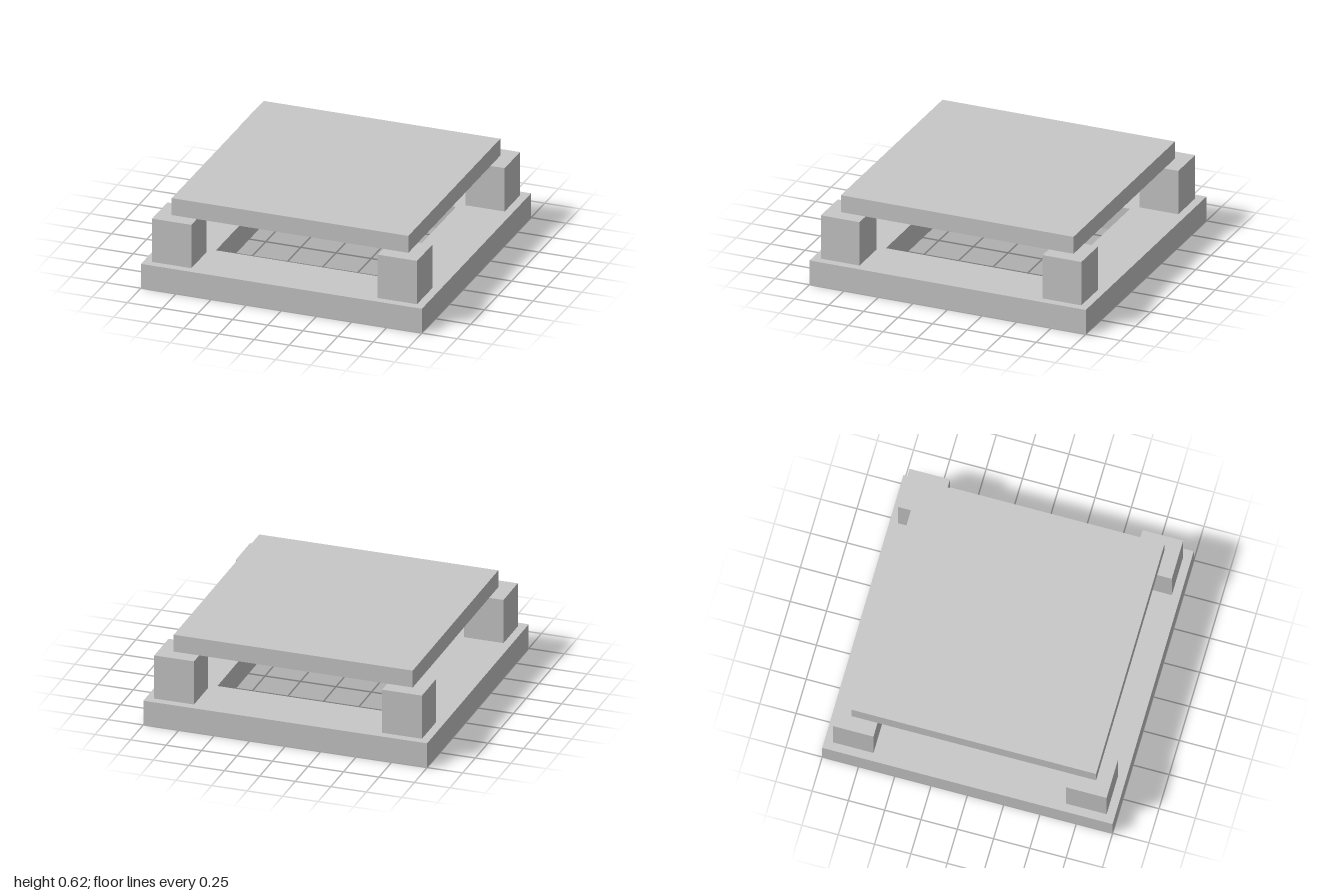
import * as THREE from 'three';

export function createModel() {
  const group = new THREE.Group();
  const grey = new THREE.MeshStandardMaterial({ color: 0xc7c7c7 });
  grey.name = 'lightGrey';

  const add = (name, geometry, x, y, z) => {
    const mesh = new THREE.Mesh(geometry, grey);
    mesh.name = name;
    mesh.position.set(x, y, z);
    group.add(mesh);
  };

  const baseTop = 0.177, postTop = 0.492, slabTop = 0.615;

  // Square path of the given half width
  const square = (Type, h) => new Type([
    new THREE.Vector2(-h, -h), new THREE.Vector2(h, -h),
    new THREE.Vector2(h, h), new THREE.Vector2(-h, h),
  ]);

  // Base: square frame with an open middle
  const outline = square(THREE.Shape, 1);
  outline.holes.push(square(THREE.Path, 0.615));
  const frame = new THREE.ExtrudeGeometry(outline, { depth: baseTop, bevelEnabled: false });
  frame.rotateX(-Math.PI / 2);
  add('baseFrame', frame, 0, 0, 0);

  // Four corner posts
  const postHeight = postTop - baseTop;
  const post = new THREE.BoxGeometry(0.28, postHeight, 0.28);
  for (const [xName, x] of [['Left', 1], ['Right', -1]]) {
    for (const [zName, z] of [['front', 1], ['back', -1]]) {
      add(zName + xName + 'Post', post, x * 0.803, baseTop + postHeight / 2, z * 0.803);
    }
  }

  // Top slab resting on the posts
  const slabHeight = slabTop - postTop;
  add('topSlab', new THREE.BoxGeometry(1.684, slabHeight, 1.684), 0, postTop + slabHeight / 2, 0);

  return group;
}
